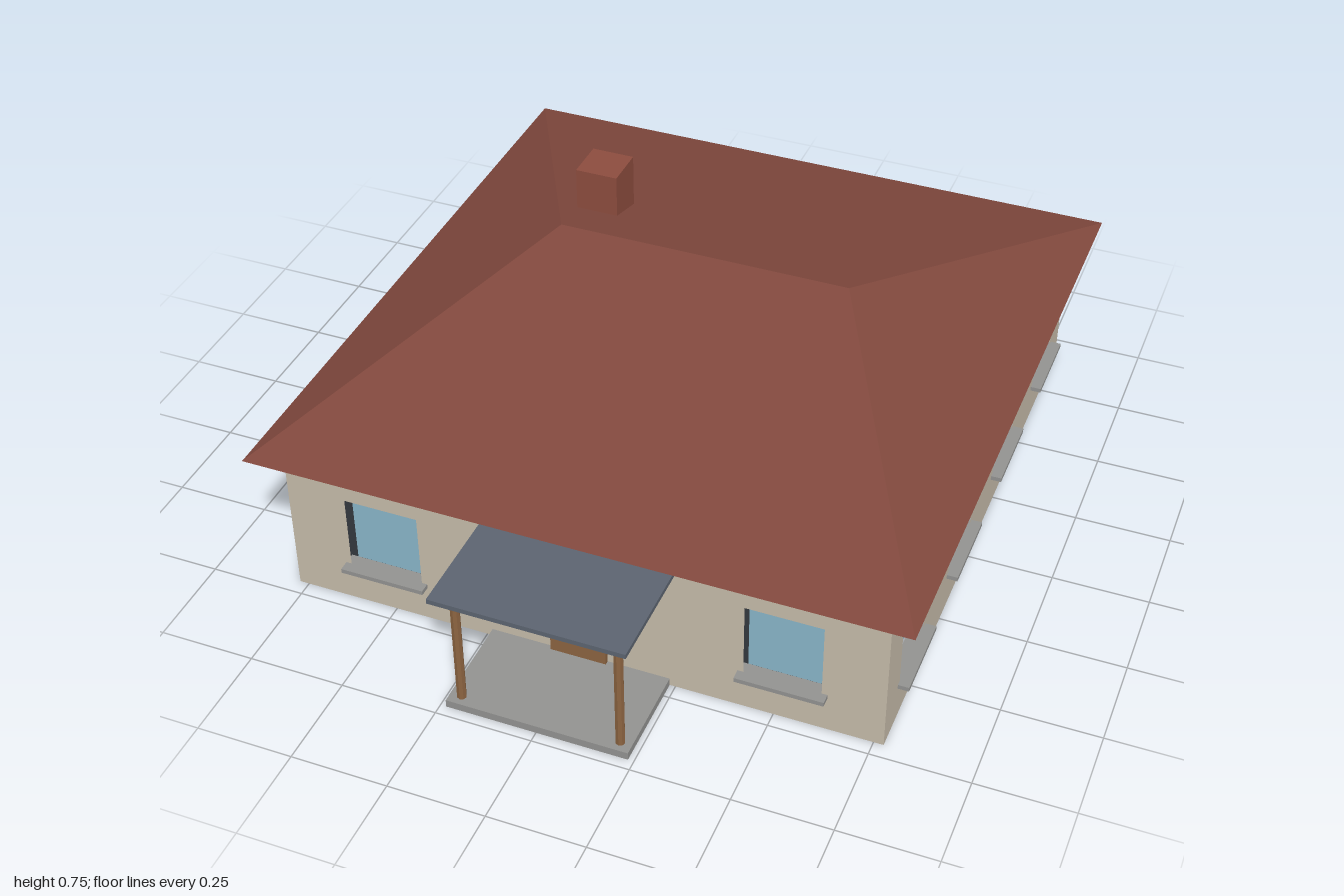
import * as THREE from 'three';

const mat = (color, side = THREE.FrontSide) =>
  new THREE.MeshStandardMaterial({ color, side, flatShading: true });

const M = {
  wall: mat(0xc4baa8, THREE.DoubleSide),
  roof: mat(0x80483d),
  brick: mat(0x8c4c3e),
  glass: mat(0x88b4c8),
  wood: mat(0x8b6340),
  stone: mat(0x929290),
  slate: mat(0x5c6470),
  core: mat(0x33383d),
};

function add(parent, name, geometry, material, x = 0, y = 0, z = 0) {
  const mesh = new THREE.Mesh(geometry, material);
  mesh.name = name;
  mesh.position.set(x, y, z);
  parent.add(mesh);
  return mesh;
}

// Box given by its extents along each axis
function box(parent, name, material, [x0, x1], [y0, y1], [z0, z1]) {
  return add(parent, name, new THREE.BoxGeometry(x1 - x0, y1 - y0, z1 - z0), material,
    (x0 + x1) / 2, (y0 + y1) / 2, (z0 + z1) / 2);
}

const WIDTH = 1.55, DEPTH = 1.635, HEIGHT = 0.427, CENTER_Z = -0.1075;
const WIN = { w: 0.195, y0: 0.107, y1: 0.317 };

// One thin wall facing +z, with window openings, recessed panes and sills
function makeWall(name, width, centers) {
  const group = new THREE.Group();
  group.name = name;
  const rect = (path, x0, x1, y0, y1) =>
    path.moveTo(x0, y0).lineTo(x1, y0).lineTo(x1, y1).lineTo(x0, y1).closePath();
  const shape = new THREE.Shape();
  rect(shape, -width / 2, width / 2, 0, HEIGHT);
  for (const c of centers) {
    const hole = new THREE.Path();
    rect(hole, c - WIN.w / 2, c + WIN.w / 2, WIN.y0, WIN.y1);
    shape.holes.push(hole);
    box(group, 'windowPane', M.glass, [c - WIN.w / 2, c + WIN.w / 2], [WIN.y0, WIN.y1], [-0.055, -0.035]);
    box(group, 'windowSill', M.stone, [c - 0.112, c + 0.112], [0.1, 0.112], [-0.03, 0.028]);
  }
  add(group, 'wallPanel', new THREE.ShapeGeometry(shape), M.wall);
  return group;
}

// Hipped roof: eave rectangle, ridge line and flat underside
function makeRoofGeometry() {
  const ex = 0.847, ey = HEIGHT, front = 0.78, back = -1, rx = 0.39, ry = 0.672, rz = -0.11;
  const positions = [
    -ex, ey, front, ex, ey, front, ex, ey, back, -ex, ey, back, -rx, ry, rz, rx, ry, rz,
  ];
  const faces = [
    0, 1, 5, 0, 5, 4, // front
    2, 3, 4, 2, 4, 5, // back
    1, 2, 5, 3, 0, 4, // ends
    0, 3, 2, 0, 2, 1, // underside
  ];
  const indexed = new THREE.BufferGeometry();
  indexed.setAttribute('position', new THREE.Float32BufferAttribute(positions, 3));
  indexed.setIndex(faces);
  const geometry = indexed.toNonIndexed();
  geometry.computeVertexNormals();
  return geometry;
}

export function createModel() {
  const house = new THREE.Group();
  house.name = 'house';

  // Four walls around the dark interior
  const threeWindows = [-0.52, 0, 0.52];
  const fourWindows = [-0.614, -0.205, 0.205, 0.614];
  const walls = [
    ['frontWall', WIDTH, DEPTH, threeWindows],
    ['leftWall', DEPTH, WIDTH, fourWindows],
    ['backWall', WIDTH, DEPTH, threeWindows],
    ['rightWall', DEPTH, WIDTH, fourWindows],
  ];
  walls.forEach(([name, width, span, centers], i) => {
    const wall = makeWall(name, width, centers);
    const angle = i * Math.PI / 2;
    wall.rotation.y = angle;
    wall.position.set(Math.sin(angle) * span / 2, 0, CENTER_Z + Math.cos(angle) * span / 2);
    house.add(wall);
  });
  add(house, 'interior', new THREE.BoxGeometry(WIDTH - 0.146, 0.395, DEPTH - 0.146), M.core,
    0, 0.2225, CENTER_Z);

  // Roof and chimney
  add(house, 'roof', makeRoofGeometry(), M.roof);
  box(house, 'chimney', M.brick, [-0.41, -0.296], [0.5, 0.747], [-0.37, -0.256]);

  // Door and porch
  box(house, 'door', M.wood, [-0.073, 0.073], [0.02, 0.31], [0.7, 0.722]);
  const porch = new THREE.Group();
  porch.name = 'porch';
  house.add(porch);
  box(porch, 'porchFloor', M.stone, [-0.235, 0.235], [0, 0.021], [0.71, 0.972]);
  box(porch, 'porchCanopy', M.slate, [-0.247, 0.247], [0.355, 0.368], [0.71, 1]);
  for (const side of [-1, 1]) {
    add(porch, 'porchPost', new THREE.CylinderGeometry(0.012, 0.012, 0.335, 8), M.wood,
      side * 0.205, 0.1885, 0.945);
  }

  return house;
}
